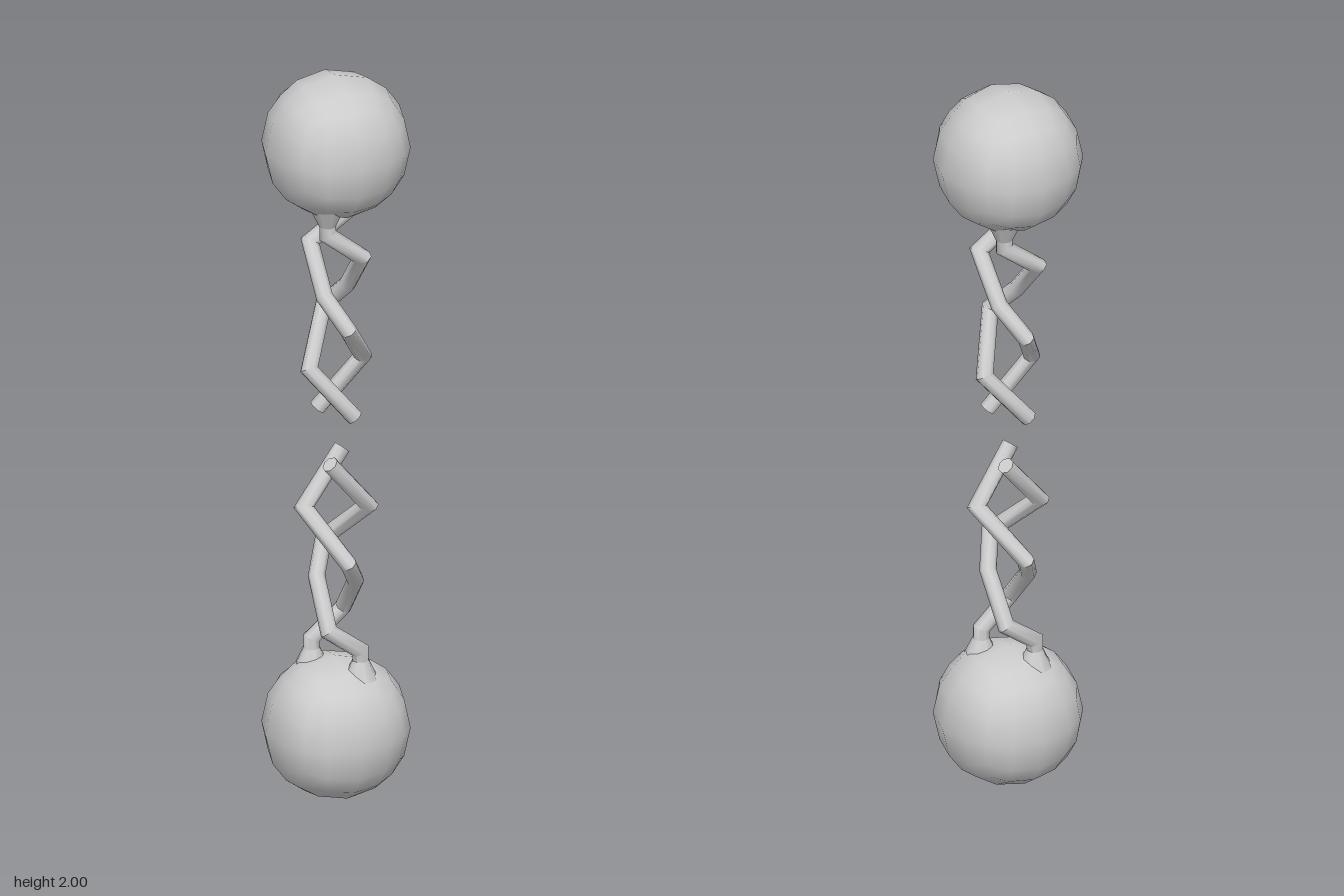
import * as THREE from 'three';
import { mergeVertices, toCreasedNormals } from 'three/addons/utils/BufferGeometryUtils.js';

const material = new THREE.MeshStandardMaterial({ color: 0xcccccc });
const V = (x, y, z) => new THREE.Vector3(x, y, z);
const RADIUS = 0.192, TUBE = 0.022, SIDES = 8;

// Ball: a subdivided cube pushed out to a sphere
function ballGeometry() {
  let geo = new THREE.BoxGeometry(1, 1, 1, 4, 4, 4);
  geo.deleteAttribute('uv');
  geo.deleteAttribute('normal');
  geo = mergeVertices(geo);
  const pos = geo.attributes.position, v = V(0, 0, 0);
  for (let i = 0; i < pos.count; i++) {
    v.fromBufferAttribute(pos, i).setLength(RADIUS);
    pos.setXYZ(i, v.x, v.y, v.z);
  }
  geo.computeVertexNormals();
  return geo;
}

// Mitred round bar along a polyline, closed at the far end
function barGeometry(points) {
  const dirs = points.slice(1).map((p, i) => p.clone().sub(points[i]).normalize());
  const positions = [], index = [];
  const side = V(1, 0, 0).cross(dirs[0]).normalize();
  const up = dirs[0].clone().cross(side);
  let ring = [];
  for (let k = 0; k < SIDES; k++) {
    const a = (k / SIDES) * Math.PI * 2;
    ring.push(points[0].clone().addScaledVector(side, Math.cos(a) * TUBE).addScaledVector(up, Math.sin(a) * TUBE));
  }
  points.forEach((p, i) => {
    if (i > 0) {
      // slide the ring along the segment onto the mitre plane
      const d = dirs[i - 1];
      const normal = d.clone().add(dirs[i] ?? d);
      ring = ring.map((q) => q.clone().addScaledVector(d, p.clone().sub(q).dot(normal) / d.dot(normal)));
    }
    ring.forEach((q) => positions.push(q.x, q.y, q.z));
    if (i === 0) return;
    for (let k = 0; k < SIDES; k++) {
      const a = (i - 1) * SIDES + k, b = (i - 1) * SIDES + ((k + 1) % SIDES);
      index.push(a, b, a + SIDES, b, b + SIDES, a + SIDES);
    }
  });
  const last = (points.length - 1) * SIDES;
  for (let k = 1; k < SIDES - 1; k++) index.push(last, last + k, last + k + 1);
  const geo = new THREE.BufferGeometry();
  geo.setAttribute('position', new THREE.Float32BufferAttribute(positions, 3));
  geo.setIndex(index);
  return toCreasedNormals(geo, 1.0);
}

// One strand, from inside the upper ball down to its free end
const strandPath = [
  V(0.045, 1.68, -0.06), V(0.045, 1.585, -0.06), V(-0.045, 1.515, -0.07),
  V(-0.042, 1.4, 0.03), V(0, 1.325, 0.093), V(0.08, 1.2, -0.02), V(-0.034, 1.06, -0.048),
];

function createHalf(name) {
  const half = new THREE.Group();
  half.name = name;
  const add = (geo, partName, parent = half) => {
    const mesh = new THREE.Mesh(geo, material);
    mesh.name = partName;
    parent.add(mesh);
    return mesh;
  };
  add(ballGeometry(), 'ball').position.y = 2 - RADIUS;

  // two strands twisted round each other
  for (let i = 0; i < 2; i++) {
    const strand = new THREE.Group();
    strand.name = 'strand' + (i + 1);
    strand.rotation.y = i * Math.PI;
    add(barGeometry(strandPath), 'twistedBar', strand);
    // flare where the bar grows out of the ball
    const flare = add(new THREE.CylinderGeometry(0.045, TUBE, 0.05, SIDES, 1, true), 'flare', strand);
    flare.position.set(0.045, 1.635, -0.06);
    half.add(strand);
  }
  return half;
}

export function createModel() {
  const model = new THREE.Group();
  model.name = 'brokenTwistedBarbell';
  const upper = createHalf('upperHalf');
  const lower = createHalf('lowerHalf');
  // the lower half is the upper one turned end over end
  lower.rotation.x = Math.PI;
  lower.position.y = 2;
  model.add(upper, lower);
  return model;
}
